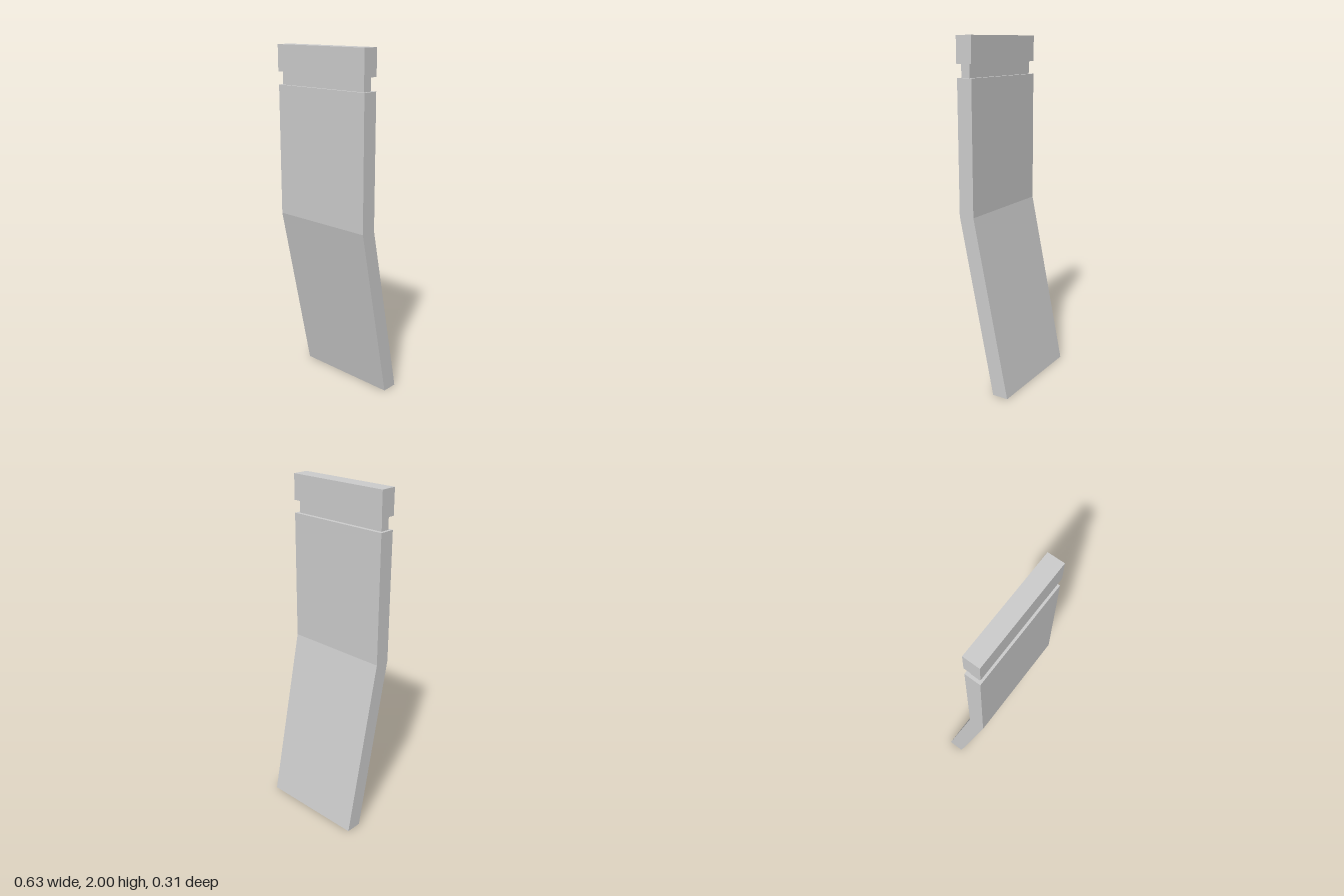
import * as THREE from 'three';

const material = new THREE.MeshStandardMaterial({ color: 0xcccccc, flatShading: true });

// Box given by its width and its extents in y and z
function slab(name, width, y0, y1, z0, z1) {
  const mesh = new THREE.Mesh(new THREE.BoxGeometry(width, y1 - y0, z1 - z0), material);
  mesh.position.set(0, (y0 + y1) / 2, (z0 + z1) / 2);
  mesh.name = name;
  return mesh;
}

export function createModel() {
  const group = new THREE.Group();
  group.name = 'bentPanel';
  const width = 0.634;

  // Bent body: side profile as (z, y), extruded across the width
  const profile = new THREE.Shape([
    [-0.155, 0], [-0.06, 0], [0.153, 1.03], [0.153, 1.78], [0.061, 1.78], [0.061, 1.03],
  ].map(([z, y]) => new THREE.Vector2(z, y)));
  const geometry = new THREE.ExtrudeGeometry(profile, { depth: width, bevelEnabled: false });
  geometry.translate(0, 0, -width / 2).rotateY(-Math.PI / 2);
  const body = new THREE.Mesh(geometry, material);
  body.name = 'body';
  group.add(body);

  // Narrow neck and the cap bar above it
  group.add(slab('neck', 0.6, 1.78, 1.853, 0.083, 0.137));
  group.add(slab('cap', width, 1.853, 2, 0.06, 0.156));
  return group;
}
